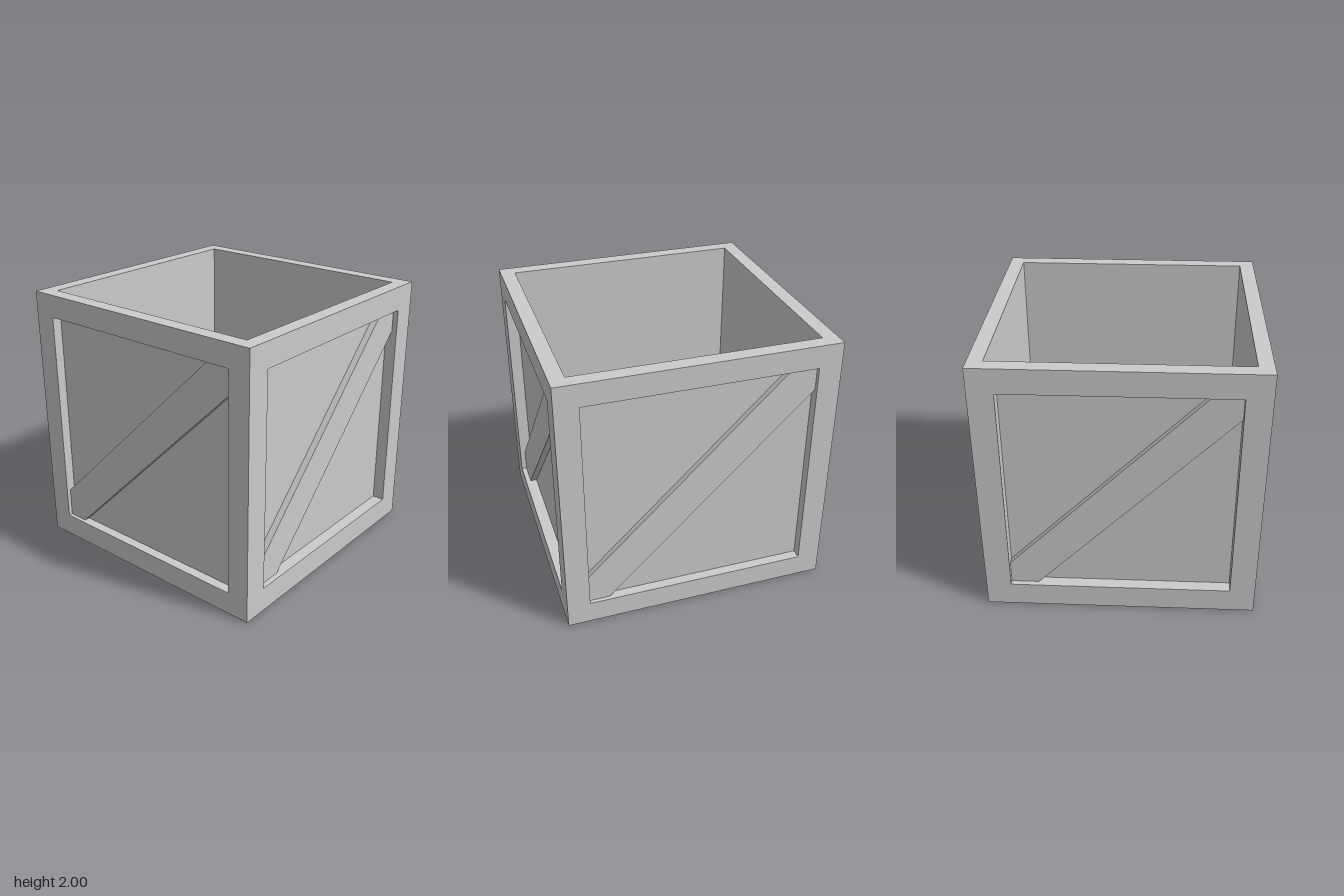
import * as THREE from 'three';

const material = new THREE.MeshStandardMaterial({ color: 0xcccccc, flatShading: true });
const INNER = 0.89; // half width of the hollow inside

function addMesh(parent, name, geometry, x = 0, y = 0, z = 0) {
  const mesh = new THREE.Mesh(geometry, material);
  mesh.name = name;
  mesh.position.set(x, y, z);
  parent.add(mesh);
}

const polygon = (points) => points.map(([x, y]) => new THREE.Vector2(x, y));
const extrude = (shape, depth) => new THREE.ExtrudeGeometry(shape, { depth, bevelEnabled: false });

// One wall facing +z: raised frame, recessed panel and diagonal brace.
function createWall(name, { half, opening, recess, braceInset, panelHalf, brace }) {
  const wall = new THREE.Group();
  wall.name = name;
  const low = 1 - opening, high = 1 + opening;
  const panelZ = 1 - recess;

  const frame = new THREE.Shape(polygon([[-half, 0], [half, 0], [half, 2], [-half, 2]]));
  frame.holes.push(new THREE.Path(polygon(
    [[-opening, low], [-opening, high], [opening, high], [opening, low]])));
  addMesh(wall, 'frame', extrude(frame, recess), 0, 0, panelZ);

  const thickness = panelZ - INNER;
  addMesh(wall, 'panel', new THREE.BoxGeometry(panelHalf * 2, 2, thickness), 0, 1, INNER + thickness / 2);

  // Brace runs corner to corner, cut off flush with the opening
  const outline = new THREE.Shape(polygon([
    [-opening, low], [brace.bottomX, low], [opening, brace.rightY],
    [opening, high], [brace.topX, high], [-opening, brace.leftY]]));
  addMesh(wall, 'brace', extrude(outline, recess - braceInset), 0, 0, panelZ);
  return wall;
}

export function createModel() {
  const crate = new THREE.Group();
  crate.name = 'crate';

  const endWall = {
    half: 1, opening: 0.815, recess: 0.09, braceInset: 0.04, panelHalf: INNER,
    brace: { bottomX: -0.61, rightY: 1.64, topX: 0.615, leftY: 0.36 },
  };
  const sideWall = {
    half: 0.91, opening: 0.83, recess: 0.073, braceInset: 0.03, panelHalf: 0.91,
    brace: { bottomX: -0.675, rightY: 1.65, topX: 0.64, leftY: 0.39 },
  };

  // Four walls around the hollow
  ['frontWall', 'leftWall', 'backWall', 'rightWall'].forEach((name, i) => {
    const wall = createWall(name, i % 2 ? sideWall : endWall);
    wall.rotation.y = i * Math.PI / 2;
    crate.add(wall);
  });

  // Floor
  addMesh(crate, 'floor', new THREE.BoxGeometry(INNER * 2, 0.11, INNER * 2), 0, 0.055, 0);
  return crate;
}
